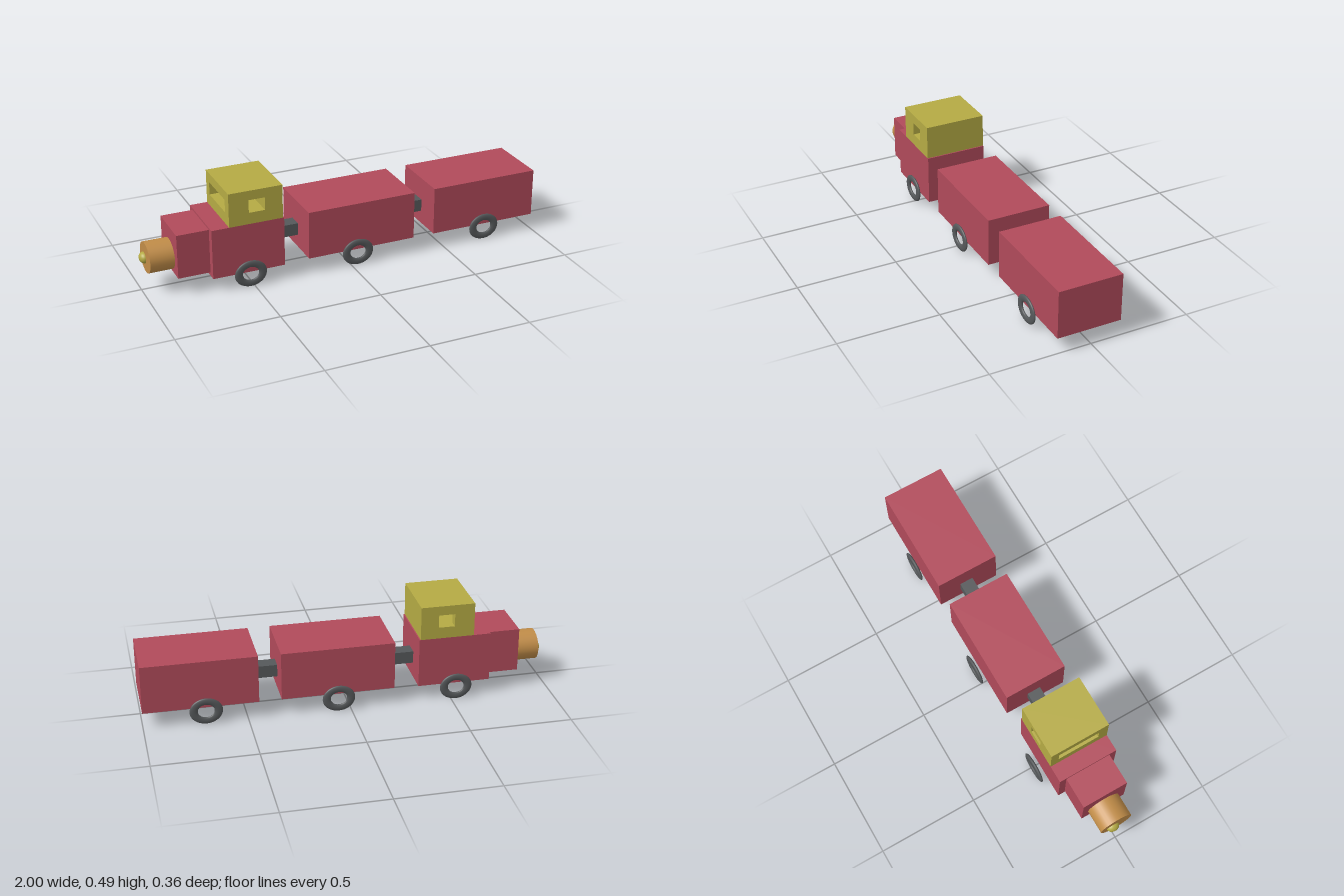
import * as THREE from 'three';

const paint = (color) => new THREE.MeshStandardMaterial({ color });

export function createModel() {
  const train = new THREE.Group();
  train.name = 'toyTrain';
  const red = paint(0xb04a5a), yellow = paint(0xb4aa44), brass = paint(0xc08c48), dark = paint(0x55585a);

  const add = (name, geometry, material, parent = train) => {
    const mesh = new THREE.Mesh(geometry, material);
    mesh.name = name;
    parent.add(mesh);
    return mesh;
  };
  // Box given by its extents along each axis
  const block = (name, [x0, x1], [y0, y1], [z0, z1], material, parent) => {
    const geometry = new THREE.BoxGeometry(x1 - x0, y1 - y0, z1 - z0);
    geometry.translate((x0 + x1) / 2, (y0 + y1) / 2, (z0 + z1) / 2);
    return add(name, geometry, material, parent);
  };

  // Engine body and bonnet
  block('engineBody', [-0.7, -0.342], [0.072, 0.32], [-0.142, 0.165], red);
  block('bonnet', [-0.857, -0.7], [0.09, 0.31], [-0.107, 0.128], red);

  // Slightly oval boiler with a small lamp on its end
  const boiler = new THREE.CylinderGeometry(1, 1, 0.118, 32);
  boiler.rotateZ(Math.PI / 2).scale(1, 0.074, 0.083);
  add('boiler', boiler, brass).position.set(-0.916, 0.169, 0.008);
  const lamp = add('lamp', new THREE.SphereGeometry(1, 24, 16), yellow);
  lamp.scale.set(0.025, 0.027, 0.032);
  lamp.position.set(-0.975, 0.161, -0.01);

  // Cab: floor, roof, and a window layer with a side tunnel open to the front
  const cab = new THREE.Group();
  cab.name = 'cab';
  train.add(cab);
  const cabX = [-0.614, -0.348], cabZ = [-0.142, 0.165];
  const sill = 0.377, lintel = 0.441;
  const winX = [-0.516, -0.436], winZ = [-0.1, 0.115];
  block('cabBase', cabX, [0.32, sill], cabZ, yellow, cab);
  block('cabRoof', cabX, [lintel, 0.488], cabZ, yellow, cab);
  block('cabRearWall', [winX[1], cabX[1]], [sill, lintel], cabZ, yellow, cab);
  block('cabPostBack', [cabX[0], winX[0]], [sill, lintel], [cabZ[0], winZ[0]], yellow, cab);
  block('cabPostFront', [cabX[0], winX[0]], [sill, lintel], [winZ[1], cabZ[1]], yellow, cab);

  // Wagons and the couplings ahead of them
  [[-0.22, 0.335, -0.342], [0.444, 1, 0.335]].forEach(([x0, x1, hitch], i) => {
    block(`wagon${i + 1}`, [x0, x1], [0.081, 0.321], [-0.15, 0.17], red);
    block(`coupling${i + 1}`, [hitch, x0], [0.147, 0.208], [-0.034, 0.035], dark);
  });

  // Flat oval ring wheels, each set a little unevenly: name, x, z
  const ring = new THREE.TorusGeometry(0.06, 0.02, 16, 40).scale(1, 0.835, 0.4);
  [
    ['engineWheelFront', -0.517, 0.174], ['engineWheelBack', -0.522, -0.173],
    ['wagon1WheelFront', 0.034, 0.174], ['wagon1WheelBack', 0.061, -0.173],
    ['wagon2WheelFront', 0.724, 0.174], ['wagon2WheelBack', 0.7, -0.163],
  ].forEach(([name, x, z]) => add(name, ring, dark).position.set(x, 0.068, z));

  return train;
}
